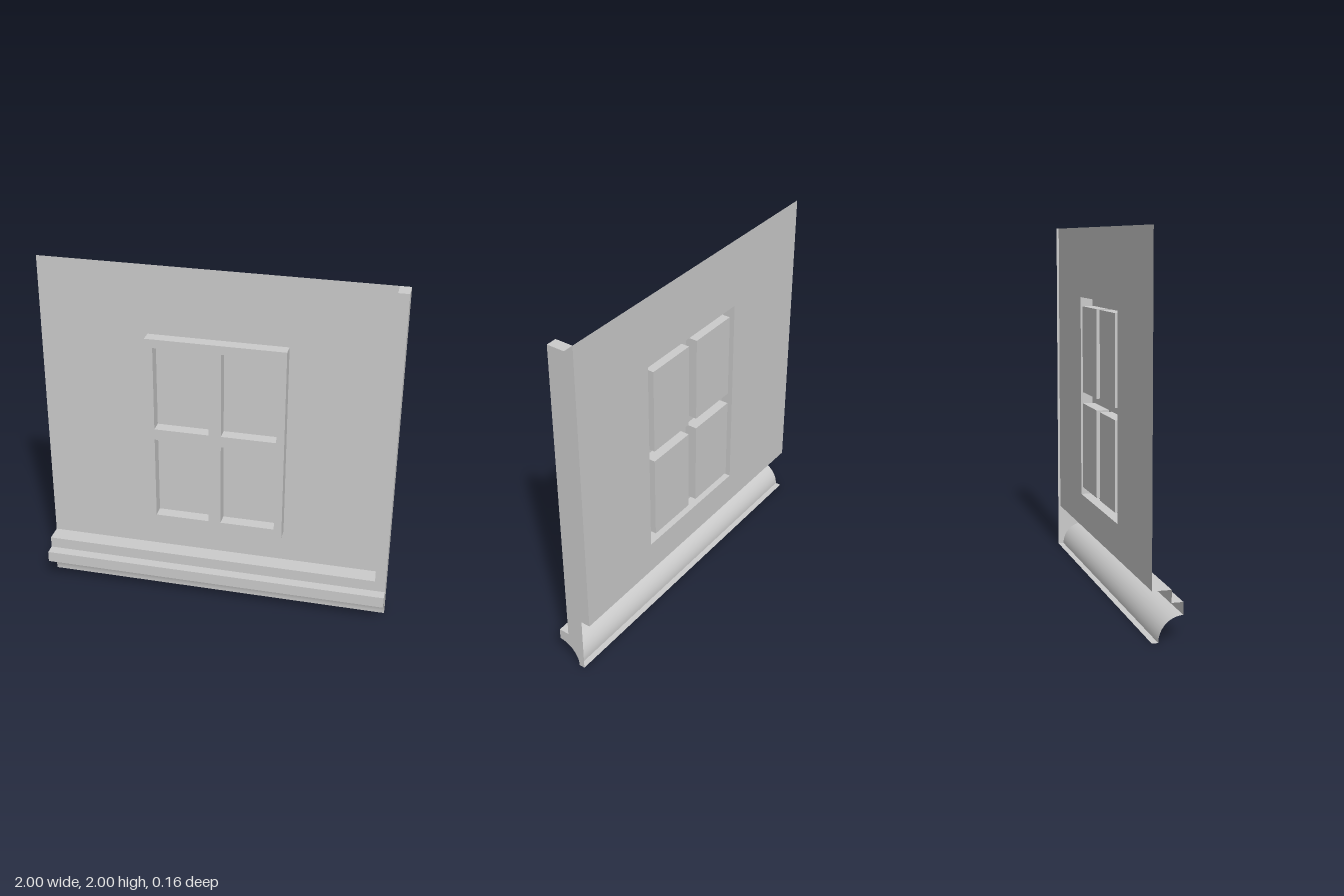
import * as THREE from 'three';

const BACK = -0.08, FACE = 0.02, LEDGE = 0.08, FRAME = -0.01;
const material = new THREE.MeshStandardMaterial({ color: 0xcccccc, side: THREE.DoubleSide });

function rectPath(x0, x1, y0, y1, Type = THREE.Path) {
  return new Type([[x0, y0], [x1, y0], [x1, y1], [x0, y1]].map(([x, y]) => new THREE.Vector2(x, y)));
}

export function createModel() {
  const group = new THREE.Group();
  const add = (name, geometry, parent = group) => {
    const mesh = new THREE.Mesh(geometry, material);
    mesh.name = name;
    parent.add(mesh);
    return mesh;
  };

  // Flat sheet at depth z with rectangular holes, each [x0, x1, y0, y1]
  const sheet = (name, rect, z, holes = [], parent = group) => {
    const shape = rectPath(...rect, THREE.Shape);
    holes.forEach(h => shape.holes.push(rectPath(...h)));
    add(name, new THREE.ShapeGeometry(shape), parent).position.z = z;
  };

  // Ribbon along x following [z, y] points from top to bottom, smooth across points
  const ribbon = (name, points, x0 = -1, x1 = 1, parent = group) => {
    const geometry = new THREE.PlaneGeometry(1, 1, 1, points.length - 1);
    const pos = geometry.attributes.position;
    points.forEach(([z, y], i) => {
      pos.setXYZ(i * 2, x0, y, z);
      pos.setXYZ(i * 2 + 1, x1, y, z);
    });
    geometry.computeVertexNormals();
    return add(name, geometry, parent);
  };

  // Upright side face at x, facing +x or -x
  const side = (name, x, y0, y1, z0, z1, facing, parent = group) => {
    const mesh = add(name, new THREE.PlaneGeometry(z1 - z0, y1 - y0), parent);
    mesh.rotation.y = facing * Math.PI / 2;
    mesh.position.set(x, (y0 + y1) / 2, (z0 + z1) / 2);
  };

  // Four faces around a rectangle, facing outward (dir 1) or inward (dir -1)
  const rim = (name, [x0, x1, y0, y1], z0, z1, dir, parent) => {
    const a = dir > 0 ? z0 : z1, b = dir > 0 ? z1 : z0;
    ribbon(name + 'Top', [[a, y1], [b, y1]], x0, x1, parent);
    ribbon(name + 'Bottom', [[b, y0], [a, y0]], x0, x1, parent);
    side(name + 'Left', x1, y0, y1, z0, z1, dir, parent);
    side(name + 'Right', x0, y0, y1, z0, z1, -dir, parent);
  };

  // Wall panel, opened behind the window frame
  const opening = [-0.39, 0.39, 0.45, 1.605];
  sheet('wall', [-1, 0.94, 0.26, 2], BACK, [opening]);

  // Window: raised frame, hollow behind, with four recessed panes
  const windowGroup = new THREE.Group();
  windowGroup.name = 'window';
  group.add(windowGroup);
  const panes = [];
  for (const [x0, x1] of [[-0.345, -0.035], [0.035, 0.345]])
    for (const [y0, y1] of [[0.5, 0.995], [1.06, 1.555]]) panes.push([x0, x1, y0, y1]);
  sheet('windowFrame', opening, FRAME, panes, windowGroup);
  rim('frameEdge', opening, BACK, FRAME, 1, windowGroup);
  panes.forEach(p => {
    sheet('pane', p, BACK, [], windowGroup);
    rim('paneRecess', p, BACK, FRAME, -1, windowGroup);
  });

  // Corner post, open at the back
  sheet('postFront', [0.94, 1, 0.26, 2], FACE);
  side('postInnerSide', 0.94, 0.26, 2, BACK, FACE, -1);
  ribbon('postTop', [[BACK, 2], [FACE, 2]], 0.94, 1);

  // Base moulding: band, ledge and hollow cove
  const cove = [];
  for (let i = 0; i <= 16; i++) {
    const t = (i / 16) * Math.PI / 2;
    cove.push([LEDGE - 0.127 * Math.sin(t), 0.13 * Math.cos(t)]);
  }
  ribbon('bandTop', [[BACK, 0.26], [FACE, 0.26]], -1, 0.94);
  ribbon('bandFront', [[FACE, 0.26], [FACE, 0.195]]);
  ribbon('ledgeTop', [[FACE, 0.195], [LEDGE, 0.195]]);
  ribbon('ledgeFront', [[LEDGE, 0.195], [LEDGE, 0.13]]);
  ribbon('cove', cove);
  ribbon('baseBottom', [[cove[16][0], 0], [BACK, 0]]);

  // Closed end of post and moulding
  const outline = [[BACK, 0], [BACK, 2], [FACE, 2], [FACE, 0.195], [LEDGE, 0.195], ...cove];
  const endShape = new THREE.Shape(outline.map(([z, y]) => new THREE.Vector2(-z, y)));
  const end = add('endCap', new THREE.ShapeGeometry(endShape));
  end.rotation.y = Math.PI / 2;
  end.position.x = 1;

  return group;
}
